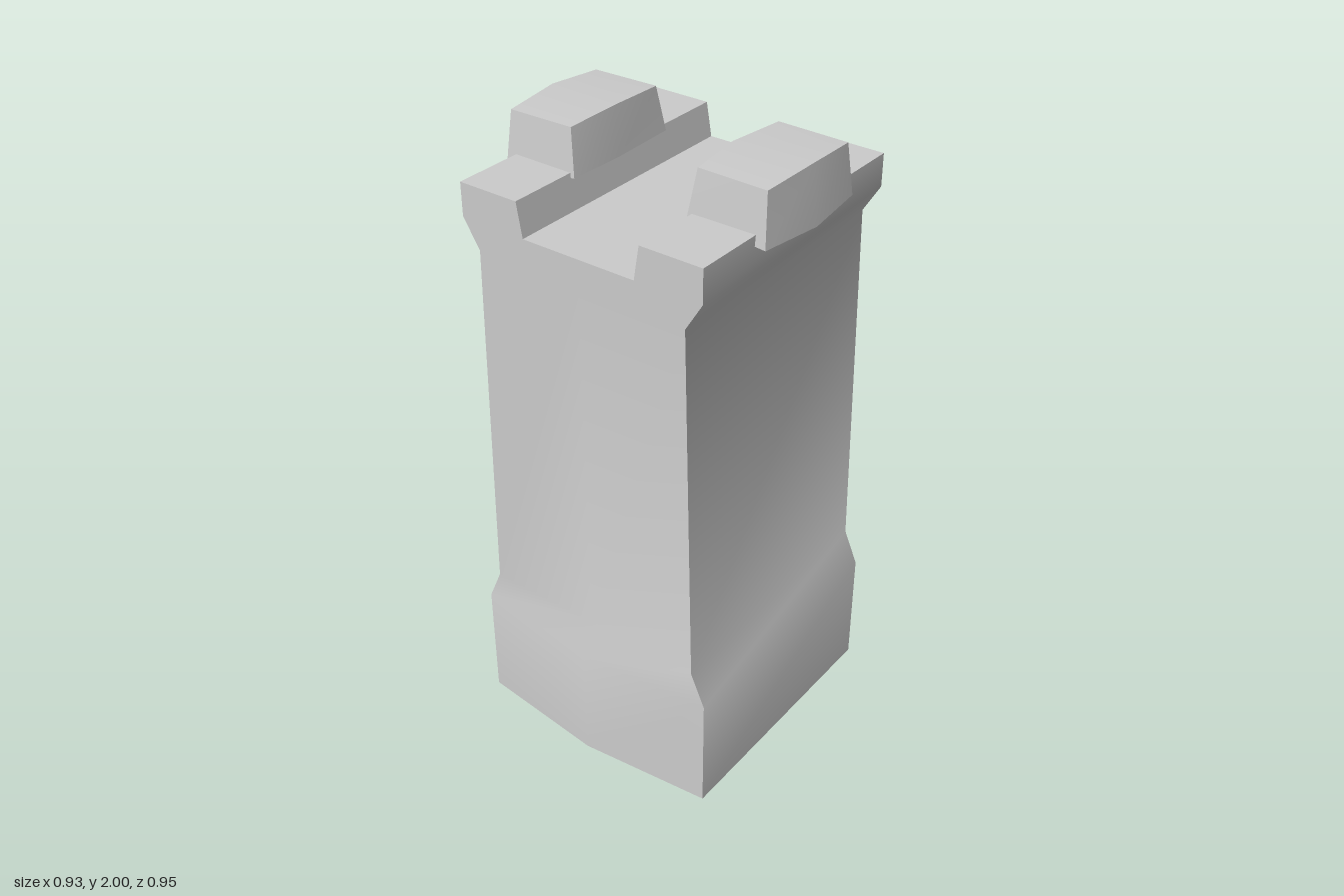
import * as THREE from 'three';
import { mergeGeometries, toCreasedNormals } from 'three/addons/utils/BufferGeometryUtils.js';

const FRONT = 0.432, BACK = -0.426, CREASE = 0.72;
const material = new THREE.MeshStandardMaterial({ color: 0xcccccc });

// Skin a stack of six-point rings, closing the bottom and (optionally) the top
function loft(rings, capTop = true) {
  const out = [];
  const tri = (a, b, c) => out.push(...a, ...b, ...c);
  const n = rings[0].length;
  for (let r = 0; r < rings.length - 1; r++) {
    for (let i = 0; i < n; i++) {
      const j = (i + 1) % n, lo = rings[r], hi = rings[r + 1];
      tri(lo[i], lo[j], hi[j]);
      tri(lo[i], hi[j], hi[i]);
    }
  }
  const bottom = rings[0], top = rings[rings.length - 1];
  for (let i = 0; i < n - 2; i++) {
    tri(bottom[n - 1], bottom[i + 1], bottom[i]);
    if (capTop) tri(top[n - 1], top[i], top[i + 1]);
  }
  const g = new THREE.BufferGeometry();
  g.setAttribute('position', new THREE.Float32BufferAttribute(out, 3));
  g.computeVertexNormals();
  return g;
}

function makeMesh(geometry, name) {
  const m = new THREE.Mesh(toCreasedNormals(geometry, CREASE), material);
  m.name = name;
  return m;
}

// Tower ring: half width x, with the middle of front and back pushed out by bulge
const towerRing = (x, y, bulge) => [
  [-x, y, FRONT], [0, y, FRONT + bulge], [x, y, FRONT],
  [x, y, BACK], [0, y, BACK - bulge], [-x, y, BACK],
];

// Flared head with a channel running from front to back
function headGeometry() {
  const half = [[0.355, 1.67], [0.41, 1.76], [0.41, 1.863], [0.208, 1.863], [0.19, 1.757]];
  const mirrored = half.map(([x, y]) => [-x, y]).reverse();
  const shape = new THREE.Shape([...half, ...mirrored].map(p => new THREE.Vector2(...p)));
  const g = new THREE.ExtrudeGeometry(shape, { depth: FRONT - BACK, bevelEnabled: false });
  g.translate(0, 0, BACK);
  g.deleteAttribute('uv');
  return g;
}

// Raised block on each side wall, slightly bowed along its length
function merlonGeometry(side) {
  const ring = pts => {
    const r = pts.map(([x, y, z]) => [x * side, y, z]);
    if (side > 0) return r;
    r.reverse();
    r.push(r.shift());
    return r;
  };
  return loft([
    ring([
      [0.193, 1.85, 0.21], [0.443, 1.828, 0.21], [0.464, 1.82, 0],
      [0.445, 1.828, -0.206], [0.195, 1.85, -0.206], [0.187, 1.85, 0.02],
    ]),
    ring([
      [0.214, 1.99, 0.192], [0.432, 1.987, 0.192], [0.446, 1.998, 0],
      [0.435, 1.987, -0.182], [0.212, 1.99, -0.182], [0.202, 2, 0.02],
    ]),
  ]);
}

export function createModel() {
  const group = new THREE.Group();
  group.name = 'tower';

  // Plinth, tapering shaft and head share one smooth-shaded skin
  const body = loft([
    towerRing(0.43, 0, 0.044), towerRing(0.43, 0.39, 0.044),
    towerRing(0.382, 0.5, 0), towerRing(0.355, 1.67, 0),
  ], false);
  group.add(makeMesh(mergeGeometries([body, headGeometry()]), 'towerBody'));

  group.add(makeMesh(merlonGeometry(1), 'leftMerlon'));
  group.add(makeMesh(merlonGeometry(-1), 'rightMerlon'));
  return group;
}
